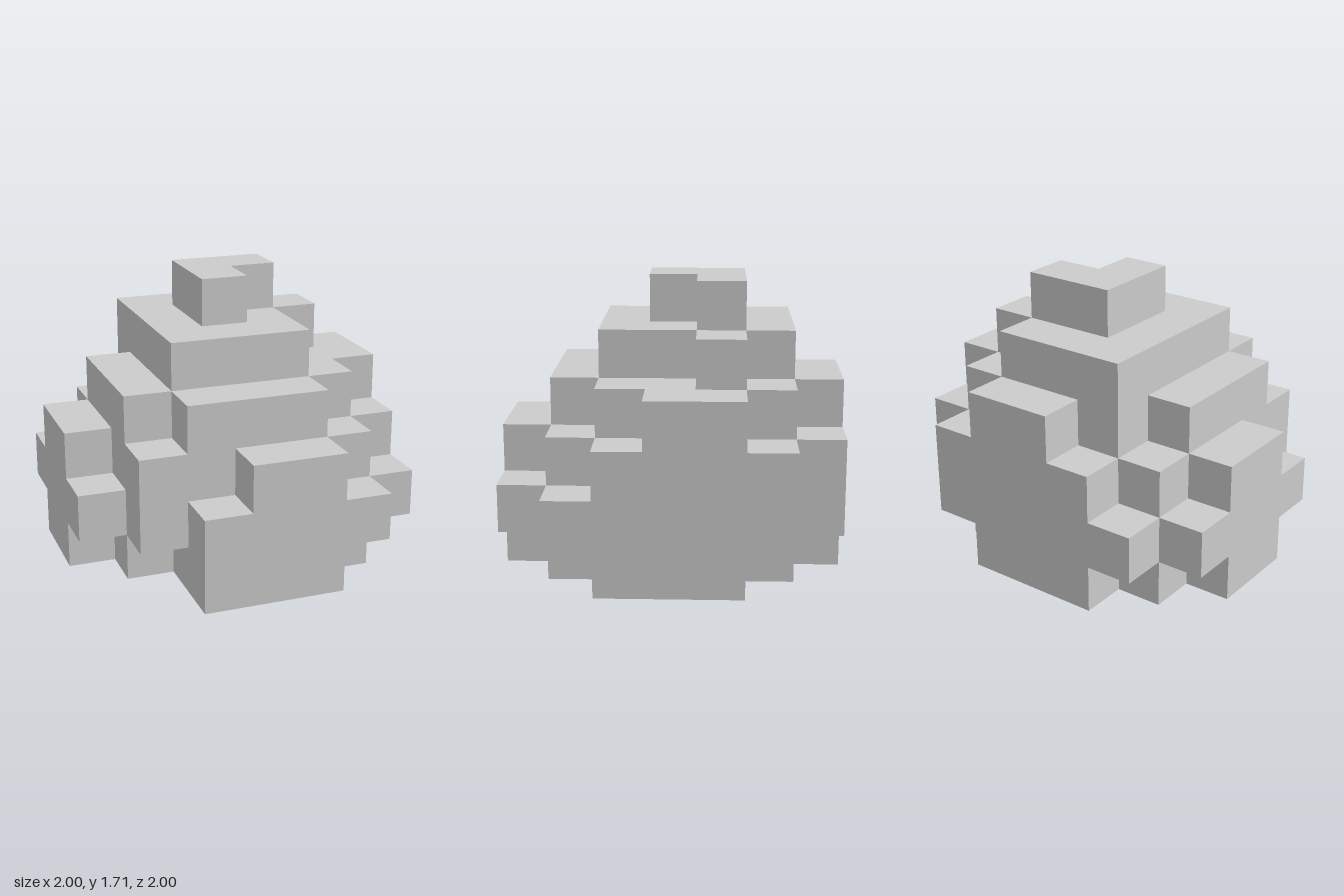
import * as THREE from 'three';
import { mergeGeometries } from 'three/addons/utils/BufferGeometryUtils.js';

const N = 7, CELL = 2 / N;

// Each layer, bottom to top: rows from back (-z) to front (+z) as [first, last] column.
const LAYERS = [
  { name: 'baseLayer', rows: [[2, 4], [1, 5], [0, 6], [0, 6], [1, 6], [2, 5], [2, 4]] },
  { name: 'widestLayer', rows: [[1, 5], [0, 6], [0, 6], [0, 6], [0, 6], [1, 6], [2, 5]] },
  { name: 'middleLayer', rows: [[2, 5], [1, 6], [0, 6], [0, 6], [1, 6], [1, 5], [3, 4]] },
  { name: 'shoulderLayer', rows: [[3, 4], [2, 5], [1, 6], [1, 6], [1, 5], [2, 4], null] },
  { name: 'upperLayer', rows: [null, [2, 4], [2, 5], [2, 4], [2, 4], null, null] },
  { name: 'topLayer', rows: [null, null, [3, 4], [3, 3], null, null, null] },
];

function filled(x, y, z) {
  const row = LAYERS[y]?.rows[z];
  return !!row && x >= row[0] && x <= row[1];
}

// The six cell sides: outward direction and the turn that faces a plane that way.
const SIDES = [
  { d: [0, 0, 1], rx: 0, ry: 0 },
  { d: [0, 0, -1], rx: 0, ry: Math.PI },
  { d: [1, 0, 0], rx: 0, ry: Math.PI / 2 },
  { d: [-1, 0, 0], rx: 0, ry: -Math.PI / 2 },
  { d: [0, 1, 0], rx: -Math.PI / 2, ry: 0 },
  { d: [0, -1, 0], rx: Math.PI / 2, ry: 0 },
];

// Only the exposed sides of the cells in one layer.
function layerGeometry(y) {
  const faces = [];
  for (let z = 0; z < N; z++) {
    for (let x = 0; x < N; x++) {
      if (!filled(x, y, z)) continue;
      for (const { d, rx, ry } of SIDES) {
        if (filled(x + d[0], y + d[1], z + d[2])) continue;
        faces.push(new THREE.PlaneGeometry(CELL, CELL)
          .rotateX(rx).rotateY(ry)
          .translate(
            (x + 0.5 + d[0] / 2) * CELL - 1,
            (y + 0.5 + d[1] / 2) * CELL,
            (z + 0.5 + d[2] / 2) * CELL - 1));
      }
    }
  }
  return mergeGeometries(faces);
}

export function createModel() {
  const group = new THREE.Group();
  group.name = 'steppedBlockMound';
  const material = new THREE.MeshStandardMaterial({ color: 0xcccccc, flatShading: true });
  LAYERS.forEach(({ name }, y) => {
    const mesh = new THREE.Mesh(layerGeometry(y), material);
    mesh.name = name;
    group.add(mesh);
  });
  return group;
}
